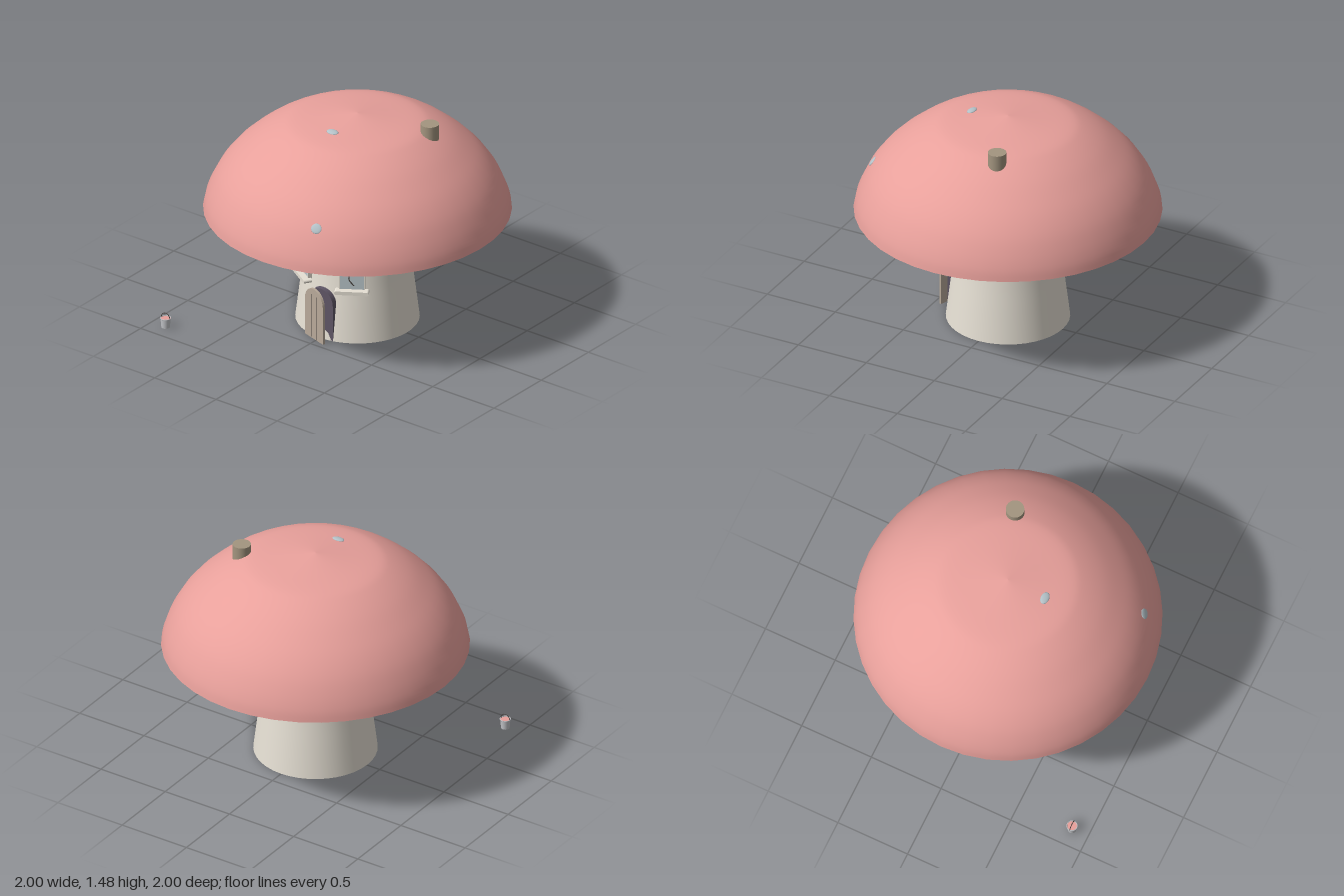
import * as THREE from 'three';

const mat = (color, side = THREE.FrontSide) =>
  new THREE.MeshStandardMaterial({ color, side });

const PINK = mat(0xe8a09b);
const CREAM = mat(0xe6e0d4);
const WALL = mat(0xe6e0d4, THREE.DoubleSide);
const GILL = mat(0x68625d);
const WOOD = mat(0xb9aa9a);
const DARK = mat(0x4a4440);
const PURPLE = mat(0x5f5666);
const GLASS = mat(0xb9c5ca);
const BRICK = mat(0xa3957f);
const SPOT = mat(0xb4c2c8);
const METAL = mat(0xc4c6ca, THREE.DoubleSide);

function add(parent, name, geometry, material, x = 0, y = 0, z = 0) {
  const m = new THREE.Mesh(geometry, material);
  m.name = name;
  m.position.set(x, y, z);
  parent.add(m);
  return m;
}

function group(parent, name, x = 0, y = 0, z = 0) {
  const g = new THREE.Group();
  g.name = name;
  g.position.set(x, y, z);
  parent.add(g);
  return g;
}

// Smooth surface of revolution through a few [radius, height] points
function lathe(points, segments = 40, steps = 24) {
  const curve = new THREE.SplineCurve(points.map(p => new THREE.Vector2(...p)));
  const pts = curve.getPoints(steps);
  pts.forEach(p => { p.x = Math.max(p.x, 0); });
  return new THREE.LatheGeometry(pts, segments);
}

// Round-topped panel standing on y = 0, from x = 0 to x = w
function archPanel(w, h, depth) {
  const r = w / 2;
  const s = new THREE.Shape();
  s.moveTo(0, 0);
  s.lineTo(w, 0);
  s.lineTo(w, h - r);
  s.absarc(r, h - r, r, 0, Math.PI, false);
  s.lineTo(0, 0);
  return new THREE.ExtrudeGeometry(s, { depth, bevelEnabled: false, curveSegments: 20 });
}

function addCap(root) {
  const cap = group(root, 'cap');
  add(cap, 'capDome', lathe([
    [1, 0.8], [0.985, 0.87], [0.95, 0.96], [0.895, 1.06], [0.82, 1.155],
    [0.73, 1.24], [0.62, 1.325], [0.5, 1.393], [0.4, 1.427], [0.2, 1.455], [0, 1.48],
  ], 40, 40), PINK);
  add(cap, 'capRim', new THREE.LatheGeometry(
    [new THREE.Vector2(0.955, 0.8), new THREE.Vector2(1, 0.8)], 40), PINK);
  add(cap, 'capUnderside', new THREE.CircleGeometry(0.955, 40), GILL, 0, 0.8, 0)
    .rotation.x = Math.PI / 2;
  add(cap, 'chimney', new THREE.CylinderGeometry(0.06, 0.06, 0.13, 24), BRICK, 0.46, 1.41, -0.17);

  // Flat pale spots lying on the cap
  const spots = [
    { p: [0.305, 1.07, 0.832], n: [0.28, 0.6, 0.75], s: [0.036, 0.008, 0.034] },
    { p: [0, 1.447, 0.265], n: [0, 1, 0.14], s: [0.043, 0.01, 0.028] },
  ];
  for (const { p, n, s } of spots) {
    const spot = add(cap, 'capSpot', new THREE.SphereGeometry(1, 20, 12), SPOT, ...p);
    spot.scale.set(...s);
    spot.quaternion.setFromUnitVectors(
      new THREE.Vector3(0, 1, 0), new THREE.Vector3(...n).normalize());
  }
}

function addWindow(root, side) {
  const angle = side * 0.56;
  const w = group(root, side > 0 ? 'leftWindow' : 'rightWindow',
    Math.sin(angle) * 0.358, 0.485, Math.cos(angle) * 0.358);
  w.rotation.y = angle;

  // Thin frame around the glass
  const W = 0.17, H = 0.23, T = 0.008;
  for (const s of [-1, 1]) {
    add(w, 'frameSide', new THREE.BoxGeometry(T, H, 0.03), CREAM, s * (W - T) / 2, 0, 0);
    add(w, 'frameBar', new THREE.BoxGeometry(W, T, 0.03), CREAM, 0, s * (H - T) / 2, 0);
  }
  add(w, 'glass', new THREE.BoxGeometry(W - T, H - T, 0.022), GLASS);

  // Crack running down the pane
  const crack = new THREE.CatmullRomCurve3([
    [-0.035, 0.075], [-0.01, 0.03], [-0.018, -0.005], [-0.02, -0.03], [0.012, -0.075],
  ].map(([x, y]) => new THREE.Vector3(x, y, 0.012)));
  add(w, 'glassCrack', new THREE.TubeGeometry(crack, 24, 0.004, 6), DARK);

  // Sill with rounded ends
  const sill = new THREE.Shape();
  sill.absarc(0.1, 0, 0.0125, -Math.PI / 2, Math.PI / 2, false);
  sill.absarc(-0.1, 0, 0.0125, Math.PI / 2, Math.PI * 1.5, false);
  add(w, 'windowSill', new THREE.ExtrudeGeometry(sill,
    { depth: 0.055, bevelEnabled: false, curveSegments: 8 }), CREAM, 0, -0.113, -0.002);
}

function addDoor(root) {
  add(root, 'doorway', archPanel(0.2, 0.35, 0.055), PURPLE, -0.1, 0.01, 0.337);

  // Door standing ajar, hinged on its -x edge
  const door = group(root, 'door', -0.112, 0.005, 0.39);
  door.rotation.y = -0.3;
  const w = 0.2;
  add(door, 'doorPanel', archPanel(w, 0.36, 0.016), WOOD);
  for (const x of [0.07, 0.135])
    add(door, 'plankGroove', new THREE.BoxGeometry(0.005, 0.31, 0.002), DARK, x, 0.16, 0.0163);
}

function addBucket(root) {
  const b = group(root, 'bucket', -0.885, 0, 0.885);
  add(b, 'bucketBody', new THREE.CylinderGeometry(0.034, 0.028, 0.068, 24, 1, true), METAL, 0, 0.039, 0);
  add(b, 'bucketBottom', new THREE.CircleGeometry(0.028, 24), METAL, 0, 0.005, 0)
    .rotation.x = Math.PI / 2;
  add(b, 'bucketRim', new THREE.TorusGeometry(0.034, 0.003, 6, 24), METAL, 0, 0.071, 0)
    .rotation.x = Math.PI / 2;
  add(b, 'bucketContents', new THREE.CircleGeometry(0.033, 24), PINK, 0, 0.067, 0)
    .rotation.x = -Math.PI / 2;
  add(b, 'bucketHandle', new THREE.TorusGeometry(0.034, 0.0025, 6, 20, Math.PI), DARK, 0, 0.071, 0);
}

export function createModel() {
  const root = new THREE.Group();
  root.name = 'mushroomHouse';

  // Hollow flared stem, open at the bottom
  add(root, 'stem', lathe([
    [0.403, 0.008], [0.377, 0.22], [0.352, 0.43], [0.337, 0.62], [0.35, 0.8],
  ]), WALL);

  addCap(root);
  for (const side of [-1, 1]) addWindow(root, side);
  addDoor(root);
  addBucket(root);
  return root;
}
